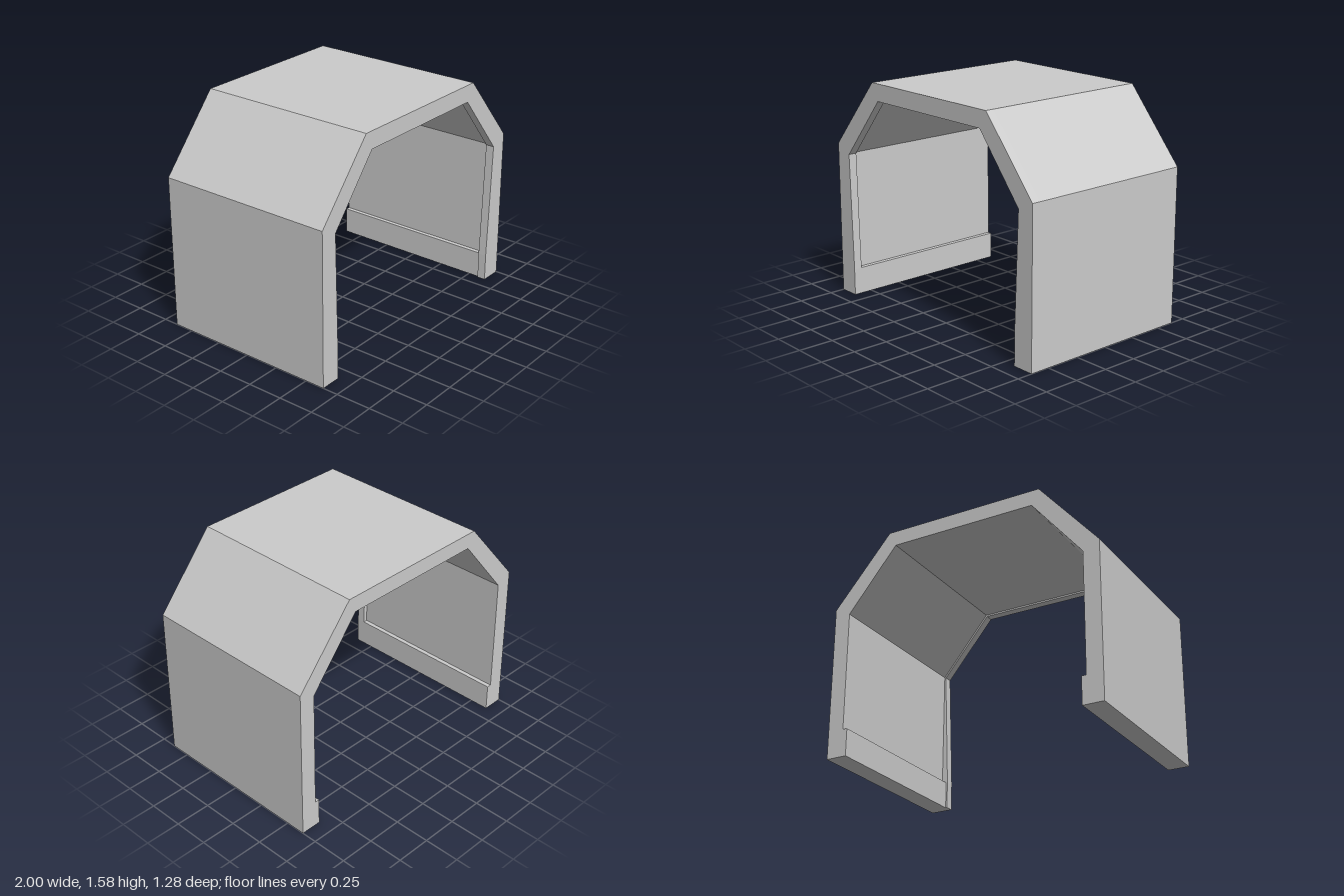
import * as THREE from 'three';

const HALF_DEPTH = 0.64;
const LIP_DEPTH = 0.06;

// Outer outline, from the left foot over the roof to the right foot
const outer = [[1, 0], [1, 1.085], [0.58, 1.575], [-0.58, 1.575], [-1, 1.085], [-1, 0]];

// Same points on the other side, in reverse order
const mirror = (pts) => pts.map(([x, y]) => [-x, y]).reverse();

// Extrudes an arch between its outer outline and an inner outline
function arch(name, inner, zBack, depth, material) {
  const shape = new THREE.Shape([...outer, ...inner].map(([x, y]) => new THREE.Vector2(x, y)));
  const geometry = new THREE.ExtrudeGeometry(shape, { depth, bevelEnabled: false });
  geometry.translate(0, 0, zBack);
  const mesh = new THREE.Mesh(geometry, material);
  mesh.name = name;
  return mesh;
}

export function createModel() {
  const group = new THREE.Group();
  group.name = 'archedCover';
  const material = new THREE.MeshStandardMaterial({ color: 0xcccccc, flatShading: true });

  // Main shell: thin walls with a stepped rail along each foot
  const shellRight = [[-0.853, 0], [-0.853, 0.19], [-0.885, 0.19], [-0.885, 1.03], [-0.526, 1.467]];
  group.add(arch('shell', [...shellRight, ...mirror(shellRight)],
    -HALF_DEPTH, 2 * HALF_DEPTH - LIP_DEPTH, material));

  // Front lip: slightly thicker, its legs widening towards the feet
  const lipRight = [[-0.853, 0], [-0.853, 0.19], [-0.875, 1.025], [-0.52, 1.455]];
  const lipLeft = [[0.52, 1.455], [0.875, 1.025], [0.842, 0.19], [0.842, 0]];
  group.add(arch('frontLip', [...lipRight, ...lipLeft],
    HALF_DEPTH - LIP_DEPTH, LIP_DEPTH, material));

  return group;
}
